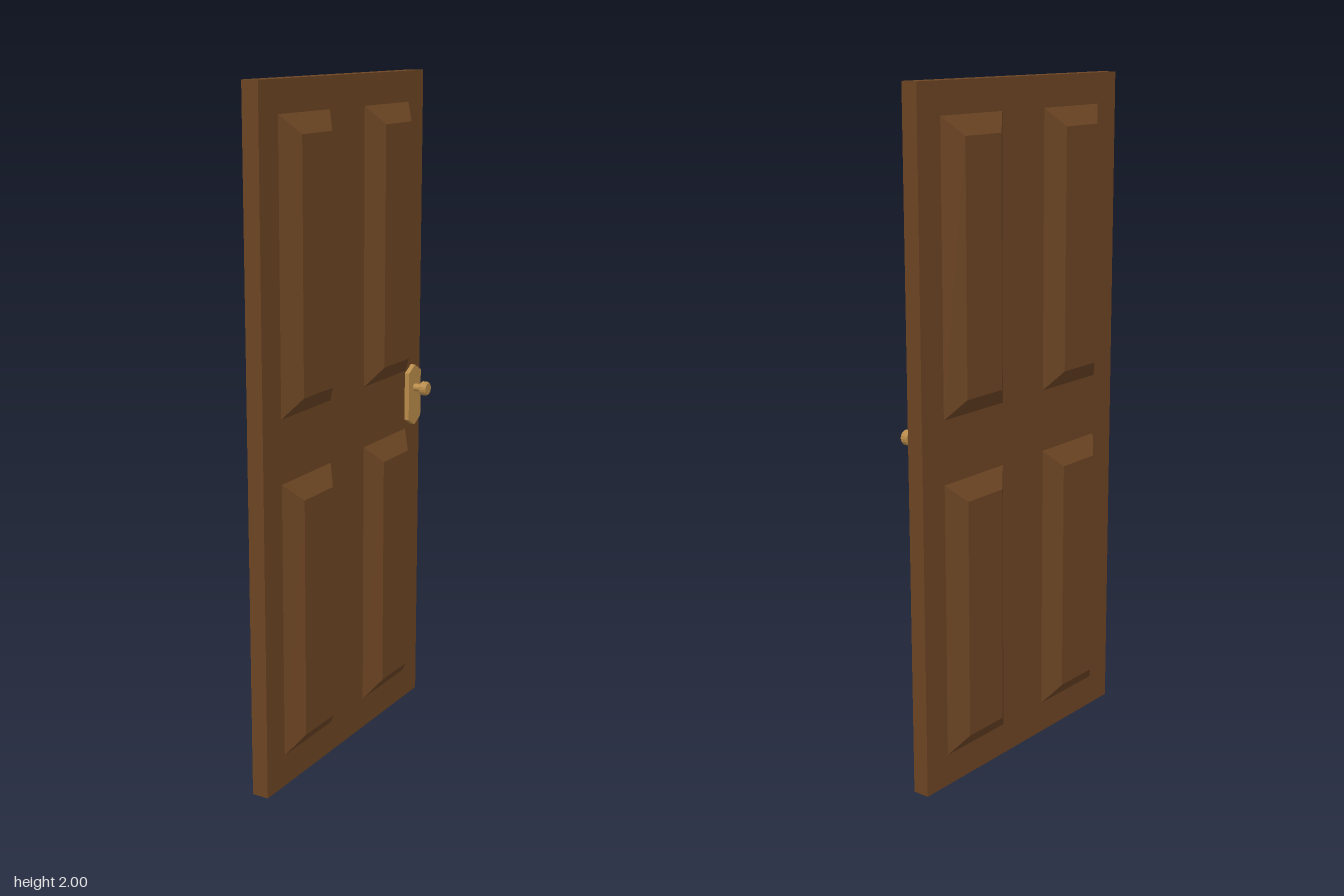
import * as THREE from 'three';

export function createModel() {
  const door = new THREE.Group();
  door.name = 'door';

  const wood = new THREE.MeshStandardMaterial({ color: 0x6b4423 });
  wood.name = 'wood';
  const brass = new THREE.MeshStandardMaterial({ color: 0xb88b49 });
  brass.name = 'brass';

  const add = (name, geometry, material, x, y, z) => {
    const mesh = new THREE.Mesh(geometry, material);
    mesh.name = name;
    mesh.position.set(x, y, z);
    door.add(mesh);
    return mesh;
  };

  const back = -0.038, front = 0.013; // the two faces of the slab
  add('slab', new THREE.BoxGeometry(front - back, 2, 0.88), wood, (front + back) / 2, 1, 0);

  // Raised panel: a box whose outer face is drawn in to form bevels
  function panelGeometry(side) {
    const depth = 0.04, bevel = 0.053;
    const geo = new THREE.BoxGeometry(depth, 0.815, 0.256);
    const p = geo.attributes.position;
    for (let i = 0; i < p.count; i++) {
      if (p.getX(i) * side < 0) continue;
      p.setY(i, p.getY(i) - Math.sign(p.getY(i)) * bevel);
      p.setZ(i, p.getZ(i) - Math.sign(p.getZ(i)) * bevel);
    }
    geo.translate(side * depth / 2, 0, 0);
    geo.computeVertexNormals();
    return geo;
  }

  // Four panels on each face
  for (const side of [1, -1]) {
    const geo = panelGeometry(side);
    for (const y of [0.503, 1.503])
      for (const z of [0.222, -0.222])
        add('raisedPanel', geo, wood, side > 0 ? front : back, y, z);
  }

  // Long six-sided lock plate
  const plate = new THREE.Shape([
    [0, 0.096], [-0.038, 0.074], [-0.038, -0.074], [0, -0.096], [0.038, -0.074], [0.038, 0.074],
  ].map(([a, b]) => new THREE.Vector2(a, b)));
  const plateGeo = new THREE.ExtrudeGeometry(plate, { depth: 0.015, bevelEnabled: false });
  plateGeo.rotateY(Math.PI / 2);
  add('lockPlate', plateGeo, brass, front, 1.014, -0.384);

  // Knob and its stem, turned around the x axis
  const profile = [
    [0.012, 0], [0.012, 0.024], [0.019, 0.024], [0.022, 0.027],
    [0.022, 0.042], [0.018, 0.047], [0, 0.047],
  ].map(([r, h]) => new THREE.Vector2(r, h));
  let knobGeo = new THREE.LatheGeometry(profile, 16).toNonIndexed();
  knobGeo.computeVertexNormals();
  knobGeo.rotateZ(-Math.PI / 2);
  add('knob', knobGeo, brass, front + 0.015, 1.038, -0.384);

  return door;
}
